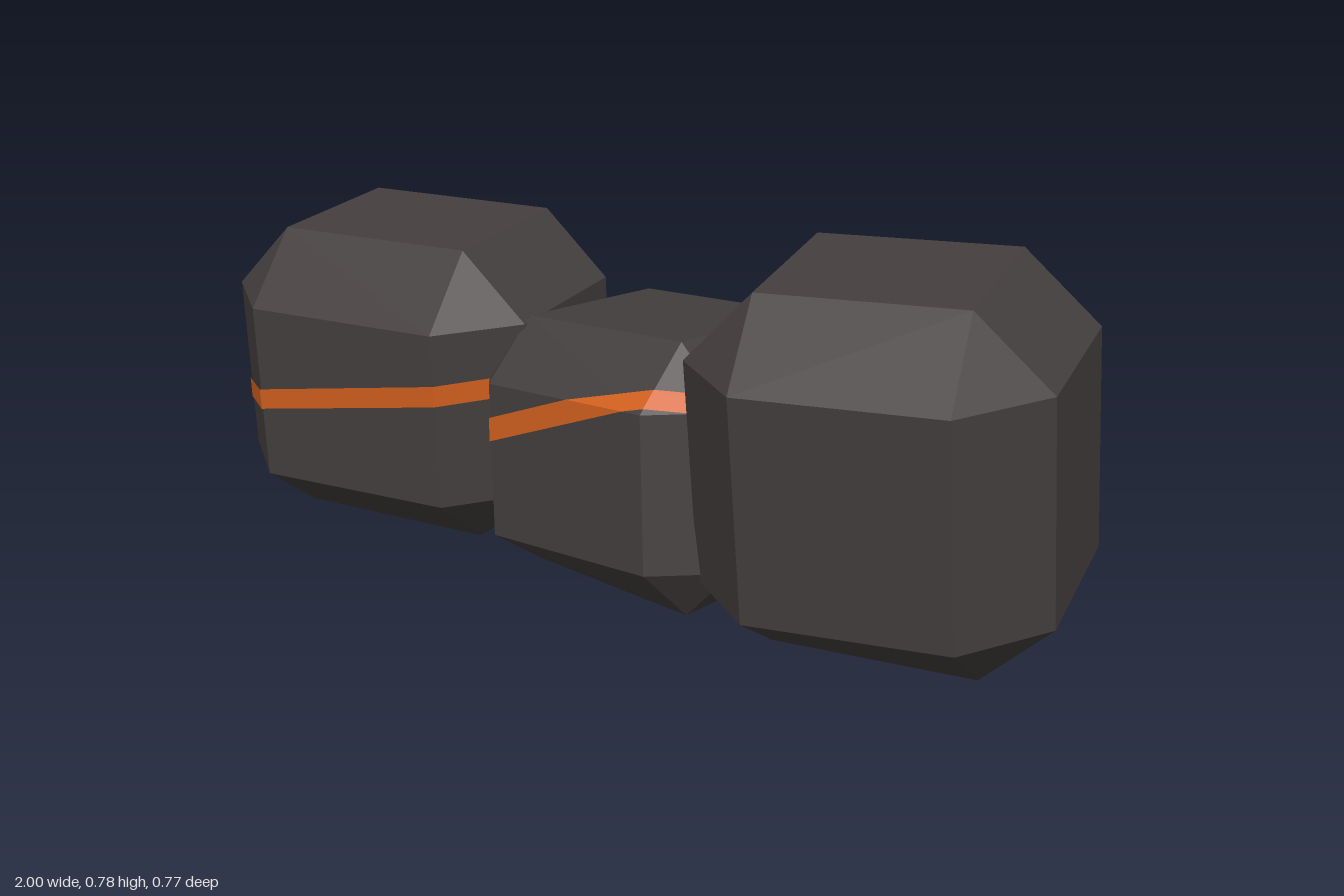
import * as THREE from 'three';
import { ConvexGeometry } from 'three/addons/geometries/ConvexGeometry.js';

const stone = new THREE.MeshStandardMaterial({ color: 0x443f3e });
stone.name = 'dark stone';
const orange = new THREE.MeshStandardMaterial({ color: 0xd2601f });
orange.name = 'orange vein';

// Each rock: half size, bevel, centre, tilt (pitch, yaw, roll).
// vein: the band |y - (a + b*x + c*z)| < half, kept where local z > front.
const ROCKS = [
  { name: 'leftRock', half: [0.36, 0.385, 0.33], bevel: 0.15, at: [0.61, 0.37, 0.005], tilt: [0.08, 0.185, 0.03] },
  { name: 'middleRock', half: [0.34, 0.29, 0.31], bevel: 0.125, at: [0.04, 0.25, -0.04], tilt: [-0.07, -0.145, 0.075],
    vein: { a: 0.228, b: 0.34, c: 0.7, half: 0.027, front: 0.1 } },
  { name: 'rightRock', half: [0.375, 0.34, 0.32], bevel: 0.145, at: [-0.605, 0.325, -0.02], tilt: [0.04, 0.115, 0.01],
    vein: { a: 0.419, b: 0.19, c: 0.08, half: 0.023, front: -0.18 } },
];

// Box with every edge bevelled, tilted and cut flat by the ground
function rockGeometry({ half, bevel, at, tilt }) {
  const turn = new THREE.Euler(tilt[0], tilt[1], tilt[2], 'XZY');
  const centre = new THREE.Vector3(...at);
  const points = [];
  for (const sx of [-1, 1]) for (const sy of [-1, 1]) for (const sz of [-1, 1]) {
    for (let full = 0; full < 3; full++) {
      const p = [sx, sy, sz].map((s, i) => s * (half[i] - (i === full ? 0 : bevel)));
      const v = new THREE.Vector3(...p).applyEuler(turn).add(centre);
      v.y = Math.max(v.y, 0);
      points.push(v);
    }
  }
  return new ConvexGeometry(points);
}

// Keep the part of a polygon where side(p) is positive
function clip(poly, side) {
  const out = [];
  poly.forEach((p, i) => {
    const q = poly[(i + 1) % poly.length];
    const dp = side(p), dq = side(q);
    if (dp >= 0) out.push(p);
    if ((dp >= 0) !== (dq >= 0)) out.push(p.clone().lerp(q, dp / (dp - dq)));
  });
  return out;
}

// Thin band following the faces of a rock between two parallel planes
function veinGeometry(rock, geometry) {
  const { a, b, c, half, front } = rock.vein;
  const centre = new THREE.Vector3(...rock.at);
  const forward = new THREE.Vector3(0, 0, 1).applyEuler(new THREE.Euler(...rock.tilt, 'XZY'));
  const height = (p) => p.y - (a + b * p.x + c * p.z);
  const sides = [
    (p) => height(p) + half,
    (p) => half - height(p),
    (p) => p.clone().sub(centre).dot(forward) - front,
  ];
  const pos = geometry.attributes.position;
  const points = [];
  for (let i = 0; i < pos.count; i += 3) {
    let poly = [0, 1, 2].map((k) =>
      new THREE.Vector3().fromBufferAttribute(pos, i + k).sub(centre).multiplyScalar(1.008).add(centre));
    for (const side of sides) poly = clip(poly, side);
    for (let k = 2; k < poly.length; k++) points.push(poly[0], poly[k - 1], poly[k]);
  }
  const band = new THREE.BufferGeometry().setFromPoints(points);
  band.computeVertexNormals();
  return band;
}

export function createModel() {
  const model = new THREE.Group();
  model.name = 'rockCluster';
  for (const rock of ROCKS) {
    const geometry = rockGeometry(rock);
    const mesh = new THREE.Mesh(geometry, stone);
    mesh.name = rock.name;
    model.add(mesh);
    if (rock.vein) {
      const vein = new THREE.Mesh(veinGeometry(rock, geometry), orange);
      vein.name = rock.name + 'Vein';
      model.add(vein);
    }
  }
  return model;
}
